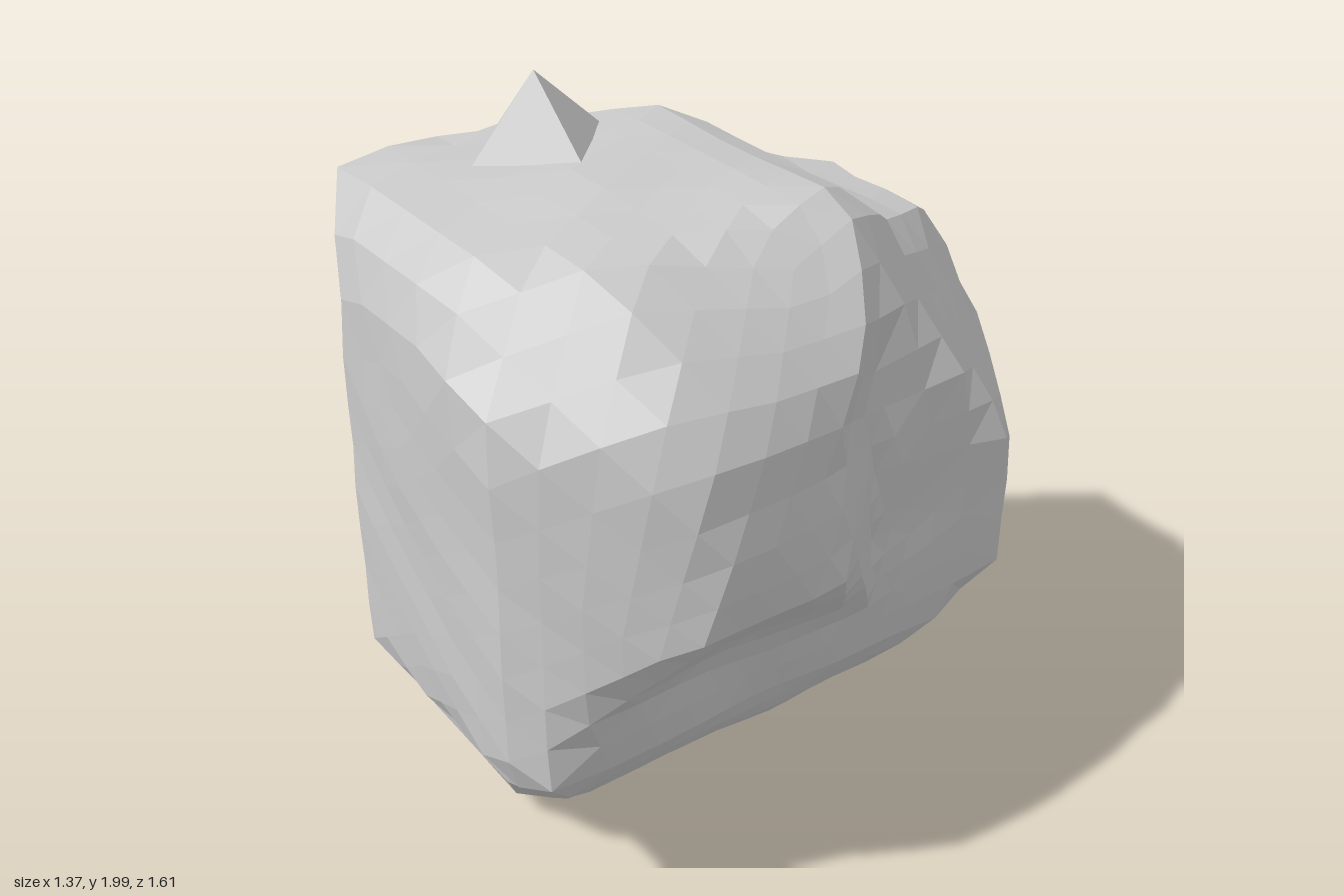
import * as THREE from 'three';
import { ConvexGeometry } from 'three/addons/geometries/ConvexGeometry.js';

const centre = new THREE.Vector3(-0.05, 0.95, 0.05);

// Boulder outlines: across (x, y), along (z, y) and in plan (x, z)
const across = [[-0.34, 0.01], [-0.1, 0], [0, 0.1], [0.14, 0.26], [0.35, 0.45], [0.44, 0.58], [0.48, 0.78],
  [0.68, 1.04], [0.69, 1.25], [0.67, 1.5], [0.59, 1.6], [0.47, 1.72], [0.34, 1.82], [-0.1, 1.84],
  [-0.58, 1.81], [-0.67, 1.7], [-0.69, 1.48], [-0.69, 0.6], [-0.68, 0.35], [-0.58, 0.22]];
const along = [[0.45, 0], [0.2, 0], [0.04, 0.03], [-0.2, 0.22], [-0.35, 0.34], [-0.62, 0.65], [-0.79, 0.8],
  [-0.81, 1.25], [-0.78, 1.48], [-0.68, 1.58], [-0.47, 1.62], [-0.22, 1.81], [0.02, 1.85], [0.68, 1.81],
  [0.79, 1.71], [0.81, 1.4], [0.81, 0.8], [0.79, 0.59], [0.6, 0.35], [0.55, 0.12]];
const plan = [[-0.33, -0.8], [0.13, -0.82], [0.34, -0.79], [0.45, -0.68], [0.47, -0.2], [0.66, 0.03],
  [0.69, 0.22], [0.69, 0.44], [0.6, 0.57], [0.47, 0.7], [0.34, 0.79], [0.12, 0.81], [-0.33, 0.79],
  [-0.55, 0.64], [-0.67, 0.45], [-0.69, 0.2], [-0.69, -0.2], [-0.67, -0.45], [-0.46, -0.7]];

// Slanted facets that chip off the corners: outward normal, point on the facet
const chips = [
  [[-0.69, -0.32, -0.65], [-0.69, 0.9, -0.3]],
  [[0.61, 0.507, -0.61], [0.3, 1.72, -0.3]],
  [[0.42, -0.81, -0.42], [0.2, 0.2, -0.2]],
  [[-0.78, 0.52, -0.36], [-0.52, 1.82, 0]],
  [[-0.4, -0.8, 0.4], [-0.47, 0.2, 0.5]],
  [[0.45, -0.75, 0.48], [-0.1, 0.1, 0.5]],
  [[0.5, 0.6, 0.55], [0.45, 1.7, 0.5]],
].map(([n, p]) => ({ n: new THREE.Vector3(...n), p: new THREE.Vector3(...p) }));

// Hollows: position, radius, depth
const hollows = [
  [[0.55, 1.4, 0.02], 0.2, 0.08],
  [[0.5, 0.88, 0.3], 0.16, 0.04],
  [[-0.3, 0.47, 0.68], 0.14, 0.04],
].map(([p, radius, depth]) => ({ p: new THREE.Vector3(...p), radius, depth }));

// Distance from (cx, cy) to a closed outline along (dx, dy)
function reachOutline(outline, cx, cy, dx, dy) {
  let reach = 0;
  outline.forEach(([ax, ay], i) => {
    const [bx, by] = outline[(i + 1) % outline.length];
    const ex = bx - ax, ey = by - ay;
    const det = dx * ey - dy * ex;
    if (Math.abs(det) < 1e-9) return;
    const t = ((ax - cx) * ey - (ay - cy) * ex) / det;
    const s = ((ax - cx) * dy - (ay - cy) * dx) / det;
    if (t > 0 && s >= -1e-6 && s <= 1 + 1e-6) reach = Math.max(reach, t);
  });
  return reach || Infinity;
}

// Surface point of the boulder in a given direction
function surfacePoint(d) {
  let r = Math.min(
    reachOutline(across, centre.x, centre.y, d.x, d.y),
    reachOutline(along, centre.z, centre.y, d.z, d.y),
    reachOutline(plan, centre.x, centre.z, d.x, d.z));
  for (const { n, p } of chips) {
    const facing = n.dot(d);
    if (facing > 1e-6) r = Math.min(r, n.dot(p.clone().sub(centre)) / facing);
  }
  const point = centre.clone().addScaledVector(d, r);
  for (const { p, radius, depth } of hollows) {
    r -= depth * Math.exp(-point.distanceToSquared(p) / (radius * radius));
  }
  // slight unevenness
  r -= 0.006 * (1 + Math.sin(9 * d.x + 5 * d.y) * Math.sin(8 * d.z - 7 * d.y));
  return point.copy(centre).addScaledVector(d, r);
}

export function createModel() {
  const group = new THREE.Group();
  group.name = 'rock';
  const stone = new THREE.MeshStandardMaterial({ color: 0xcccccc, flatShading: true });

  // Main boulder
  const geometry = new THREE.IcosahedronGeometry(1, 8);
  const position = geometry.attributes.position;
  const d = new THREE.Vector3();
  for (let i = 0; i < position.count; i++) {
    const p = surfacePoint(d.fromBufferAttribute(position, i).normalize());
    position.setXYZ(i, p.x, Math.max(p.y, 0), p.z);
  }
  geometry.computeVertexNormals();
  const boulder = new THREE.Mesh(geometry, stone);
  boulder.name = 'boulder';
  group.add(boulder);

  // Jagged point on the top
  const corners = [[-0.34, 2, 0.22], [-0.37, 1.8, 0], [-0.13, 1.82, 0.22], [-0.3, 1.8, 0.44],
    [-0.54, 1.79, 0.22], [-0.32, 1.7, 0.2]].map((c) => new THREE.Vector3(...c));
  const peak = new THREE.Mesh(new ConvexGeometry(corners), stone);
  peak.name = 'peak';
  group.add(peak);

  return group;
}
